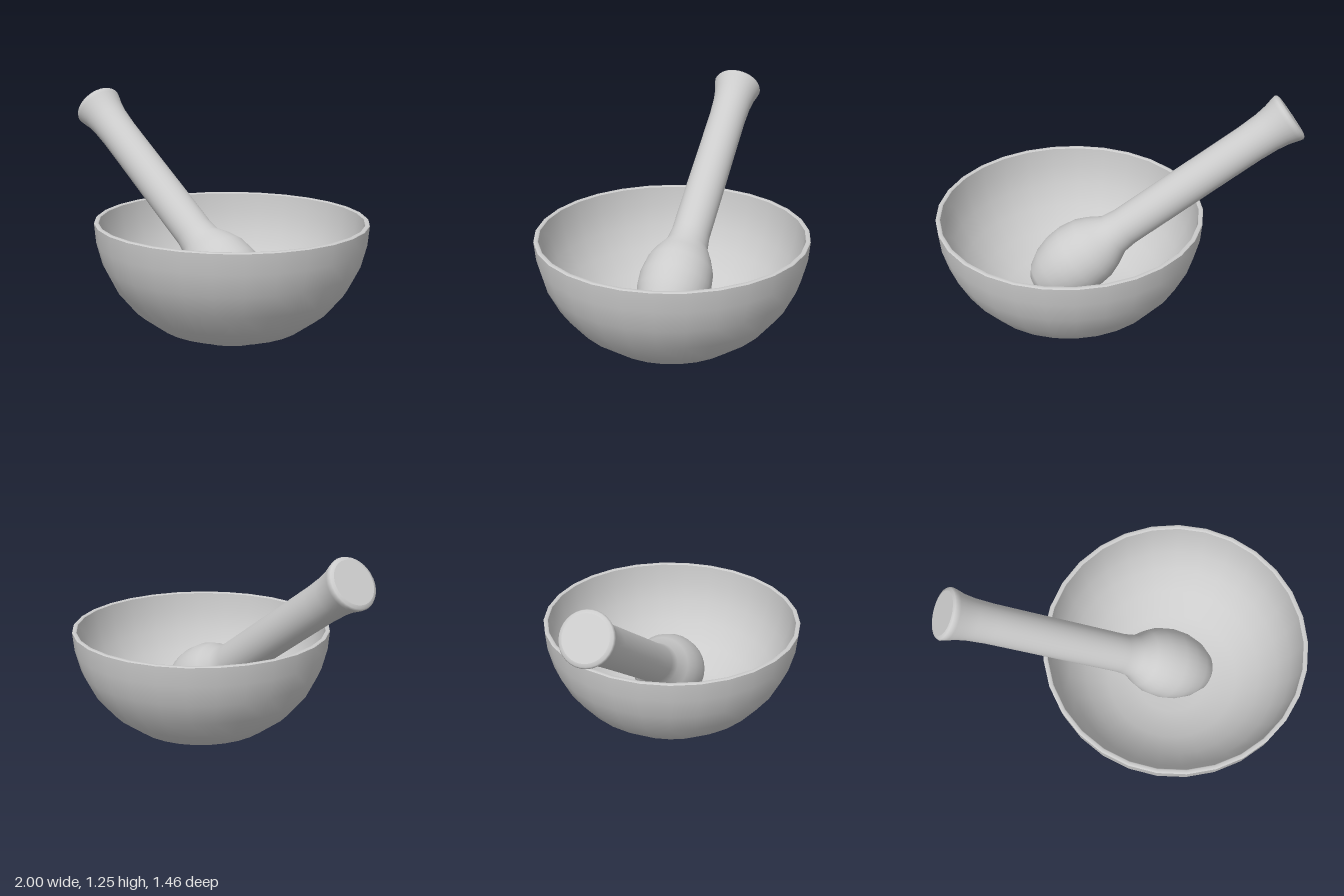
import * as THREE from 'three';

const v = ([x, y]) => new THREE.Vector2(x, y);

export function createModel() {
  const model = new THREE.Group();
  model.name = 'mortarAndPestle';
  const stone = new THREE.MeshStandardMaterial({ color: 0xcccccc });
  stone.name = 'greyStone';

  const add = (parent, name, geometry) => {
    const mesh = new THREE.Mesh(geometry, stone);
    mesh.name = name;
    parent.add(mesh);
    return mesh;
  };

  // Bowl: separate surfaces keep the rim and foot edges crisp
  const bowl = new THREE.Group();
  bowl.name = 'bowl';
  bowl.position.x = 0.27;
  model.add(bowl);
  const ring = (pts) => new THREE.LatheGeometry(pts.map(v), 29, Math.PI / 2);
  add(bowl, 'bowlOuterWall', ring([
    [0.215, 0.005], [0.395, 0.07], [0.527, 0.167], [0.625, 0.285],
    [0.688, 0.41], [0.72, 0.53], [0.73, 0.635],
  ]));
  add(bowl, 'bowlRim', ring([[0.73, 0.635], [0.725, 0.64], [0.71, 0.64], [0.705, 0.635]]));
  add(bowl, 'bowlInnerWall', ring([
    [0.705, 0.635], [0.695, 0.53], [0.662, 0.415], [0.602, 0.3],
    [0.507, 0.19], [0.38, 0.1], [0.21, 0.05], [0, 0.04],
  ]));
  add(bowl, 'bowlFoot', ring([[0, 0], [0.21, 0], [0.215, 0.005]]));

  // Pestle: turned profile from the grinding tip up to the flared end
  const pestle = new THREE.Group();
  pestle.name = 'pestle';
  pestle.position.set(-0.918, 1.13, 0);
  pestle.rotation.z = THREE.MathUtils.degToRad(55);
  model.add(pestle);
  const profile = [
    [0, -1.7], [0.065, -1.69], [0.115, -1.65], [0.165, -1.57], [0.193, -1.48],
    [0.2, -1.4], [0.187, -1.3], [0.158, -1.23], [0.118, -1.16], [0.108, -1.08],
    [0.108, -0.8], [0.107, -0.5], [0.107, -0.25], [0.112, -0.14], [0.122, -0.07],
    [0.136, -0.02], [0.14, 0], [0.134, 0.012], [0.118, 0.018],
  ];
  add(pestle, 'pestleBody', new THREE.LatheGeometry(profile.map(v), 32));
  const cap = add(pestle, 'pestleEndCap', new THREE.CircleGeometry(0.118, 32));
  cap.rotation.x = -Math.PI / 2;
  cap.position.y = 0.018;

  return model;
}
